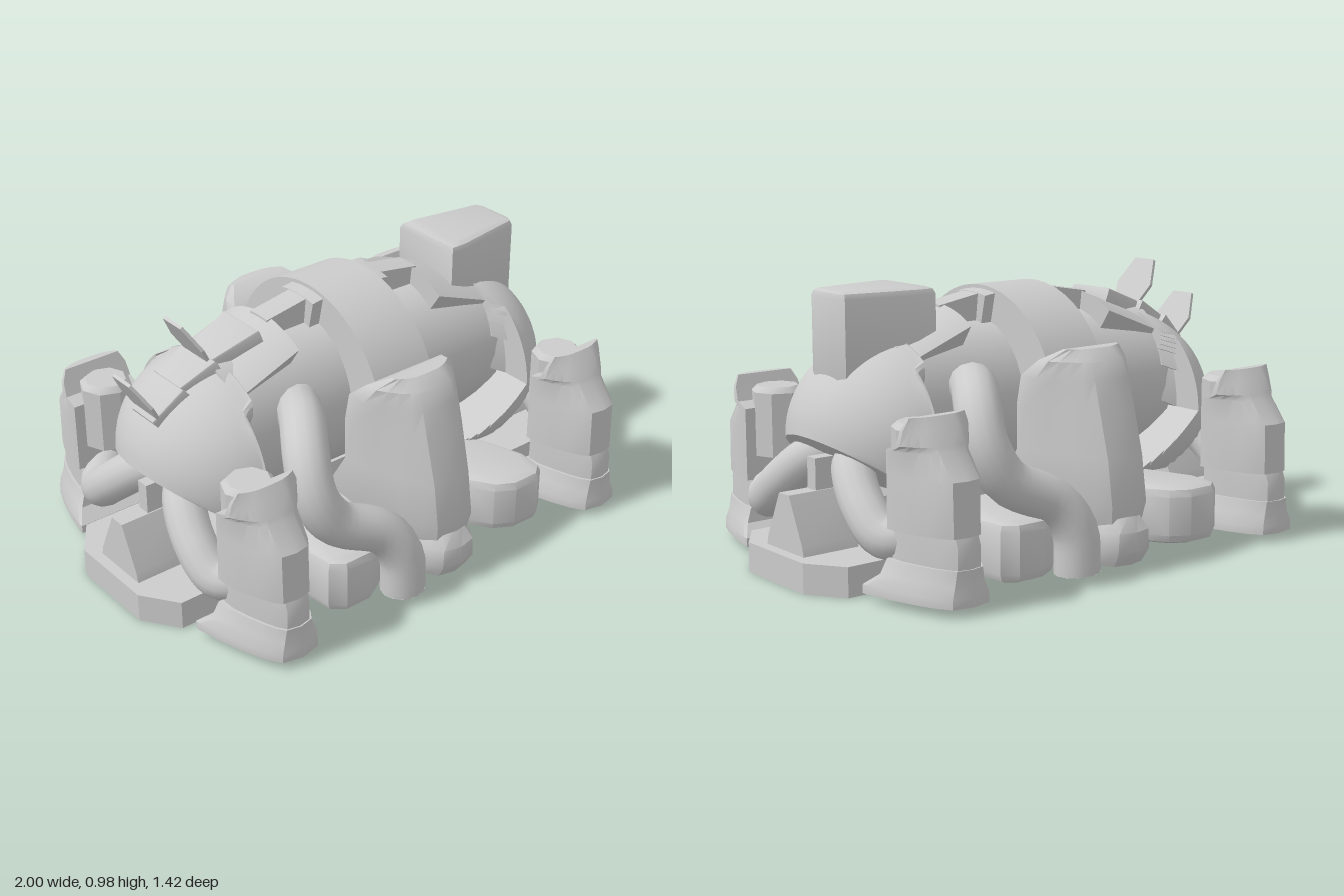
import * as THREE from 'three';
import { toCreasedNormals } from 'three/addons/utils/BufferGeometryUtils.js';

const grey = new THREE.MeshStandardMaterial({ color: 0xcccccc, side: THREE.DoubleSide });
const AXIS = 0.53; // height of the hull axis
const v = (x, y, z) => new THREE.Vector3(x, y, z);

function add(parent, name, geo, crease = 0.6) {
  const mesh = new THREE.Mesh(toCreasedNormals(geo, crease), grey);
  mesh.name = name;
  parent.add(mesh);
  return mesh;
}

// Stacked sections narrowing to a blunt nose: [y, halfWidth, zBack, zFront, share of straight side]
function loft(rings, steps = 10) {
  const pos = [], idx = [], n = steps + 3;
  for (const [y, w, zb, zf, k = 0.2] of rings) {
    const zm = zb + (zf - zb) * k;
    pos.push(-w, y, zb, w, y, zb);
    for (let i = 0; i <= steps; i++) {
      const t = Math.PI * i / steps, c = Math.cos(t), s = Math.sin(t);
      pos.push(w * Math.sign(c) * Math.abs(c) ** 0.45 * (1 - 0.35 * s), y, zm + (zf - zm) * s);
    }
  }
  const top = (rings.length - 1) * n;
  for (let r = 0; r < rings.length - 1; r++) {
    for (let j = 0; j < n; j++) {
      const a = r * n + j, b = r * n + (j + 1) % n;
      idx.push(a, a + n, b, b, a + n, b + n);
    }
  }
  for (let j = 1; j < n - 1; j++) idx.push(0, j, j + 1, top, top + j + 1, top + j);
  const g = new THREE.BufferGeometry();
  g.setAttribute('position', new THREE.Float32BufferAttribute(pos, 3));
  g.setIndex(idx);
  return g;
}

// Flat outline in x,z raised from y0 to y1 with a small bevel
function slab(pts, y0, y1, bevel = 0) {
  const shape = new THREE.Shape(pts.map(([x, z]) => new THREE.Vector2(x, -z)));
  const g = new THREE.ExtrudeGeometry(shape, {
    depth: y1 - y0 - 2 * bevel, bevelEnabled: bevel > 0, bevelSize: bevel, bevelThickness: bevel,
    bevelOffset: -bevel, bevelSegments: 2,
  });
  return g.rotateX(-Math.PI / 2).translate(0, y0 + bevel, 0);
}

// Thick curved plate around the hull axis, sinking by drop towards x1
function arcPlate(rOut, rIn, half, x0, x1, drop = 0) {
  const shape = new THREE.Shape();
  shape.absarc(0, 0, rOut, Math.PI / 2 - half, Math.PI / 2 + half, false);
  shape.absarc(0, 0, rIn, Math.PI / 2 + half, Math.PI / 2 - half, true);
  const g = new THREE.ExtrudeGeometry(shape, { depth: x1 - x0, bevelEnabled: false, curveSegments: 20 });
  g.rotateY(Math.PI / 2);
  const p = g.attributes.position;
  for (let i = 0; i < p.count; i++) p.setY(i, p.getY(i) - drop * p.getX(i) / (x1 - x0));
  return g.translate(x0, AXIS, 0);
}

function pipe(parent, name, points, r) {
  const curve = new THREE.CatmullRomCurve3(points, false, 'centripetal');
  add(parent, name, new THREE.TubeGeometry(curve, 28, r, 14), 1);
  for (const t of [0, 1]) { // flat ends
    const cap = add(parent, name + 'End', new THREE.CircleGeometry(r, 14));
    cap.position.copy(curve.getPoint(t));
    cap.quaternion.setFromUnitVectors(v(0, 0, 1), curve.getTangent(t).multiplyScalar(t ? 1 : -1));
  }
}

// Dome with a stepped, slanted inner edge and an underside rising outwards
function domeGeometry() {
  const g = new THREE.SphereGeometry(0.39, 64, 48);
  g.scale(1, 0.92, 1).translate(0.49, 0.45, 0);
  const p = g.attributes.position;
  for (let i = 0; i < p.count; i++) {
    const y = Math.max(p.getY(i), 0.23), z = p.getZ(i);
    const edge = y < 0.45 ? 0.6 - (0.45 - y) : Math.abs(z) < 0.25 ? 0.55 : 0.6;
    const x = Math.max(p.getX(i), edge);
    p.setXYZ(i, x, Math.max(y, 0.24 + (x - 0.54) * 0.72), z);
  }
  return g;
}

function makeLeg() {
  const leg = new THREE.Group();
  leg.name = 'cornerLeg';
  add(leg, 'foot', loft([
    [0.03, 0.185, 0.36, 0.71, 0.05], [0.06, 0.185, 0.36, 0.71, 0.05],
    [0.1, 0.15, 0.41, 0.70, 0.1], [0.15, 0.13, 0.42, 0.70, 0.15],
  ]));
  add(leg, 'ankle', loft([[0.14, 0.115, 0.43, 0.695], [0.22, 0.115, 0.43, 0.695], [0.26, 0.115, 0.43, 0.68]]));
  add(leg, 'legArmor', loft([
    [0.25, 0.135, 0.43, 0.685], [0.43, 0.135, 0.43, 0.68], [0.51, 0.135, 0.43, 0.61],
    [0.53, 0.135, 0.48, 0.6], [0.58, 0.13, 0.5, 0.57], [0.62, 0.11, 0.515, 0.545],
  ]));
  add(leg, 'legColumn', new THREE.CylinderGeometry(0.095, 0.095, 0.23, 8)).position.set(0, 0.45, 0.43);
  add(leg, 'columnCap', new THREE.CylinderGeometry(0.075, 0.095, 0.02, 8)).position.set(0, 0.575, 0.43);
  return leg;
}

function makePod() {
  const pod = new THREE.Group();
  pod.name = 'sidePod';
  add(pod, 'podFoot', loft([
    [0.03, 0.16, 0.16, 0.67, 0.4], [0.08, 0.18, 0.16, 0.7, 0.4], [0.15, 0.17, 0.16, 0.7, 0.4], [0.21, 0.12, 0.16, 0.66, 0.4],
  ]));
  add(pod, 'podShell', loft([
    [0.16, 0.17, 0.2, 0.66, 0.3], [0.24, 0.2, 0.2, 0.675, 0.3], [0.4, 0.2, 0.3, 0.65, 0.15],
    [0.56, 0.2, 0.3, 0.605, 0.15], [0.66, 0.19, 0.31, 0.57, 0.3], [0.72, 0.17, 0.38, 0.545, 0.3], [0.76, 0.12, 0.45, 0.5, 0.3],
  ]));
  return pod;
}

// Hull end with dome, collar, arms and buttress, built towards +x
function makeEnd() {
  const end = new THREE.Group();
  end.name = 'hullEnd';
  add(end, 'dome', domeGeometry(), 0.5);
  add(end, 'collar', arcPlate(0.36, 0.25, 0.59, 0.32, 0.58, 0.1));
  add(end, 'spine', arcPlate(0.4, 0.25, 0.12, 0.1, 0.34, 0.04));
  add(end, 'spineRoot', arcPlate(0.4, 0.25, 0.22, 0.1, 0.17, 0.01));
  for (const s of [-1, 1]) {
    pipe(end, 'endArm', [v(0.66, 0.42, s * 0.04), v(0.76, 0.385, s * 0.12), v(0.81, 0.28, s * 0.25),
      v(0.8, 0.2, s * 0.36), v(0.73, 0.22, s * 0.45)], 0.075);
    // low outrigger pads
    add(end, 'outrigger', slab([[0.14, s * 0.2], [0.22, s * 0.5], [0.27, s * 0.58], [0.34, s * 0.62], [0.45, s * 0.62],
      [0.5, s * 0.58], [0.51, s * 0.48], [0.42, s * 0.2]], 0.03, 0.24, 0.035));
  }
  // tapered buttress with a post rising to the hull
  const profile = new THREE.Shape([[-0.115, 0.1], [0.115, 0.1], [0.105, 0.14], [0.03, 0.3], [-0.03, 0.3], [-0.105, 0.14]]
    .map(([z, y]) => new THREE.Vector2(z, y)));
  const b = new THREE.ExtrudeGeometry(profile, { depth: 0.22, bevelEnabled: false });
  add(end, 'buttress', b.rotateY(Math.PI / 2).translate(0.74, 0, 0));
  add(end, 'buttressPost', new THREE.BoxGeometry(0.1, 0.3, 0.05)).position.set(0.8, 0.26, 0);
  // hooked pipe beside the pod
  pipe(end, 'sidePipe', [v(0.33, 0.62, -0.2), v(0.41, 0.645, -0.33), v(0.49, 0.6, -0.45), v(0.515, 0.49, -0.52),
    v(0.45, 0.37, -0.55), v(0.28, 0.28, -0.59), v(0.215, 0.18, -0.62), v(0.205, 0.035, -0.625)], 0.08);
  return end;
}

export function createModel() {
  const model = new THREE.Group();
  model.name = 'pod';
  const place = (part, x, turn) => { part.position.x = x; part.rotation.y = turn; model.add(part); };

  add(model, 'basePlate', slab([[-1, -0.17], [-0.91, -0.3], [0.91, -0.3], [1, -0.17],
    [1, 0.17], [0.91, 0.3], [-0.91, 0.3], [-1, 0.17]], 0, 0.105));
  add(model, 'pedestal', new THREE.BoxGeometry(0.8, 0.16, 0.24)).position.y = 0.18;

  // hull core and central arch
  const core = new THREE.CylinderGeometry(0.25, 0.25, 1.18, 32).rotateZ(Math.PI / 2).scale(1, 1.17, 1);
  add(model, 'hullCore', core).position.y = AXIS;
  add(model, 'centralArch', arcPlate(0.41, 0.25, 1.45, -0.125, 0.125));

  for (const turn of [0, Math.PI]) {
    place(makeEnd(), 0, turn);
    place(makePod(), 0, turn);
    for (const x of [-0.71, 0.71]) place(makeLeg(), x, turn);
  }

  // tapered housing on one dome
  add(model, 'housing', slab([[0.43, -0.145], [0.5, -0.145], [0.77, -0.1], [0.785, -0.07],
    [0.785, 0.07], [0.77, 0.1], [0.5, 0.145], [0.43, 0.145]], 0.58, 0.97, 0.025));

  // sloping plates and raised fins on the other dome: [x, y, half width, length, tilt]
  const tiles = [[-0.49, 0.83, 0.1, 0.19, 0.35], [-0.64, 0.77, 0.095, 0.15, 0.5], [-0.755, 0.695, 0.09, 0.15, 0.72]];
  for (const [x, y, w, len, tilt] of tiles) {
    const tile = add(model, 'headPlate', slab([[-len / 2, -w * 0.7], [len / 2, -w],
      [len / 2, w], [-len / 2, w * 0.7]], -0.035, 0.035, 0.01));
    tile.position.set(x, y, 0);
    tile.rotation.z = tilt;
  }
  for (const [x, y] of [[-0.59, 0.81], [-0.8, 0.665]]) {
    const fin = add(model, 'fin', slab([[0, -0.06], [0.09, -0.09], [0.195, -0.05], [0.195, 0.05], [0.09, 0.09], [0, 0.06]], -0.006, 0.006));
    fin.position.set(x, y, 0);
    fin.rotation.z = 2.12;
    const hinge = add(model, 'finHinge', new THREE.CylinderGeometry(0.018, 0.018, 0.12, 10).rotateX(Math.PI / 2));
    hinge.position.set(x, y, 0);
  }
  return model;
}
